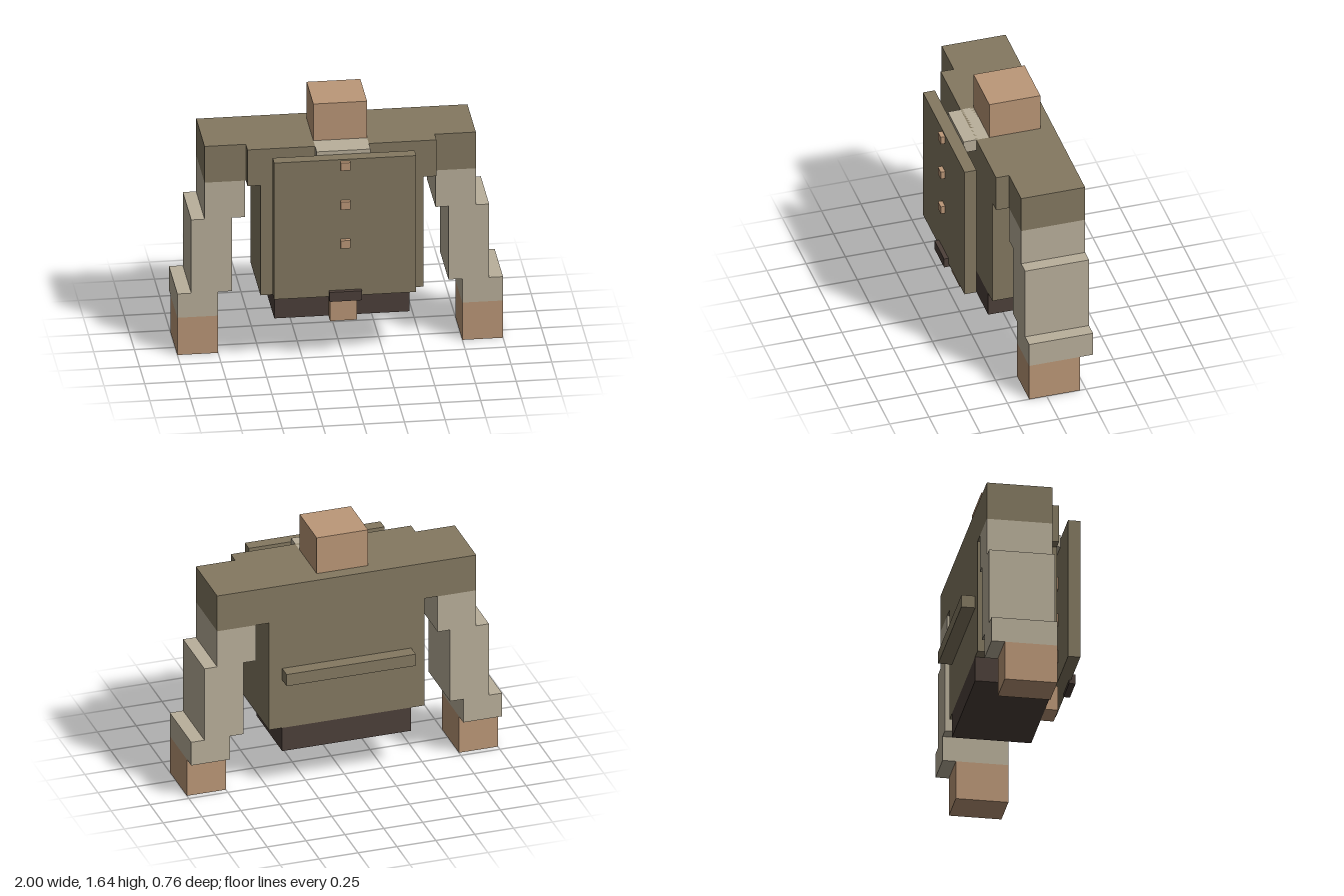
import * as THREE from 'three';

const material = (name, color) => {
  const m = new THREE.MeshStandardMaterial({ color });
  m.name = name;
  return m;
};

export function createModel() {
  const olive = material('olive coat', 0x847961);
  const beige = material('beige sleeve', 0xbab09b);
  const skin = material('tan skin', 0xbc9878);
  const dark = material('dark brown', 0x4d403a);

  const model = new THREE.Group();
  model.name = 'blockFigure';

  // Box given by its [min, max] range on each axis
  const block = (parent, name, mat, [x0, x1], [y0, y1], [z0, z1]) => {
    const mesh = new THREE.Mesh(new THREE.BoxGeometry(x1 - x0, y1 - y0, z1 - z0), mat);
    mesh.position.set((x0 + x1) / 2, (y0 + y1) / 2, (z0 + z1) / 2);
    mesh.name = name;
    parent.add(mesh);
  };
  const centred = (name, mat, halfWidth, y, z) =>
    block(model, name, mat, [-halfWidth, halfWidth], y, z);

  // Head and collar
  centred('head', skin, 0.165, [1.39, 1.636], [-0.213, 0.112]);
  centred('collar', beige, 0.165, [1.31, 1.39], [0.112, 0.276]);

  // Coat body
  centred('shoulders', olive, 0.833, [1.147, 1.39], [-0.295, 0.112]);
  centred('chest', olive, 0.58, [1.147, 1.39], [0.112, 0.195]);
  centred('torso', olive, 0.5, [0.41, 1.147], [-0.295, 0.195]);
  centred('backStrap', olive, 0.415, [0.74, 0.82], [-0.38, -0.295]);
  centred('trousers', dark, 0.415, [0.25, 0.41], [-0.295, 0.195]);
  centred('frontTab', skin, 0.083, [0.25, 0.41], [0.195, 0.276]);

  // Front panel held off the torso by small studs
  centred('frontPanel', olive, 0.436, [0.45, 1.365], [0.276, 0.352]);
  for (const y of [0.575, 0.82, 1.065])
    centred('panelStud', skin, 0.083, [y, y + 0.08], [0.195, 0.276]);
  for (const y of [0.78, 1.04, 1.302])
    centred('button', skin, 0.03, [y, y + 0.052], [0.352, 0.38]);
  centred('buckle', dark, 0.1, [0.427, 0.49], [0.34, 0.38]);

  // Stepped arms, mirrored by side
  for (const side of [1, -1]) {
    const arm = new THREE.Group();
    arm.name = side > 0 ? 'leftArm' : 'rightArm';
    model.add(arm);
    const part = (name, mat, inner, outer, y, zBack) =>
      block(arm, name, mat, side > 0 ? [inner, outer] : [-outer, -inner], y, [zBack, 0.112]);
    part('upperSleeve', beige, 0.585, 0.833, [0.902, 1.147], -0.295);
    part('middleSleeve', beige, 0.665, 0.915, [0.41, 0.902], -0.295);
    part('cuff', beige, 0.75, 1, [0.25, 0.41], -0.295);
    part('hand', skin, 0.75, 1, [0, 0.25], -0.213);
  }
  return model;
}
